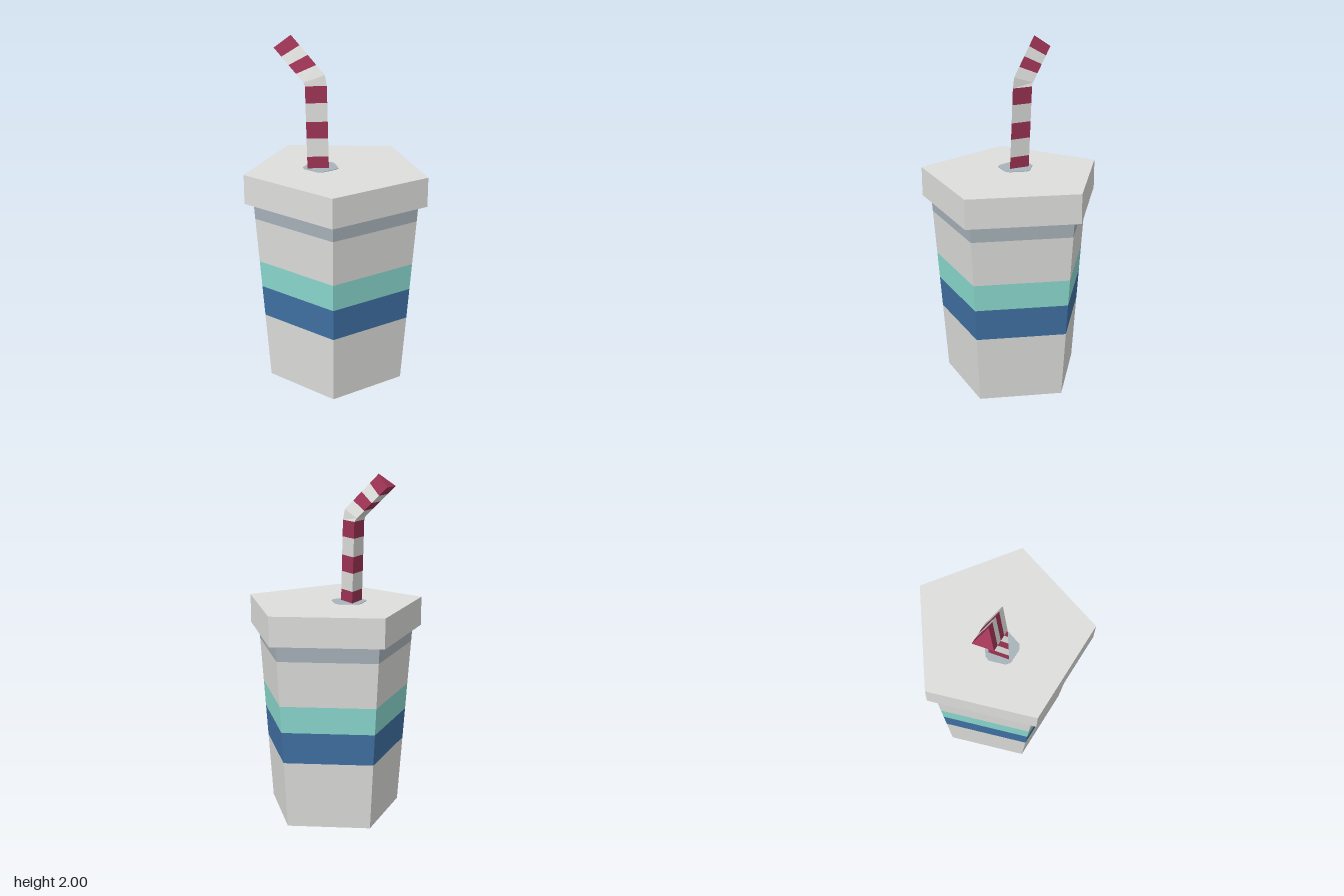
import * as THREE from 'three';
import { mergeGeometries } from 'three/addons/utils/BufferGeometryUtils.js';

const mat = (name, color) => {
  const m = new THREE.MeshStandardMaterial({ color });
  m.name = name;
  return m;
};

// Give every face its own normal for a faceted look
const faceted = (geo) => {
  const g = geo.index ? geo.toNonIndexed() : geo;
  g.computeVertexNormals();
  return g;
};

export function createModel() {
  const white = mat('offWhite', 0xdededc);
  const teal = mat('teal', 0x8bdbd1);
  const blue = mat('blue', 0x4071a4);
  const red = mat('crimson', 0x9e3455);
  const greyBlue = mat('greyBlue', 0xa9b4bb);

  const group = new THREE.Group();
  const add = (name, geo, material) => {
    const mesh = new THREE.Mesh(faceted(geo), material);
    mesh.name = name;
    group.add(mesh);
    return mesh;
  };

  // Five-sided tapered section with one corner at the back
  const centreZ = 0.051;
  const pentagon = (name, y0, y1, r0, r1, material, open) => {
    const geo = new THREE.CylinderGeometry(r1, r0, y1 - y0, 5, 1, open, Math.PI);
    add(name, geo, material).position.set(0, (y0 + y1) / 2, centreZ);
  };

  // Cup wall in coloured bands
  const cupRadius = (y) => 0.405 + 0.0725 * y;
  const bands = [
    ['cupBase', 0, 0.395, white],
    ['blueBand', 0.395, 0.58, blue],
    ['tealBand', 0.58, 0.737, teal],
    ['cupUpper', 0.737, 1.0, white],
    ['cupRim', 1.0, 1.1, greyBlue],
  ];
  for (const [name, y0, y1, m] of bands) {
    pentagon(name, y0, y1, cupRadius(y0), cupRadius(y1), m, y0 > 0);
  }
  pentagon('lid', 1.095, 1.265, 0.536, 0.536, white, false);

  // Straw hole: pentagon with clipped corners, laid on the lid
  const hole = new THREE.Shape();
  const corners = [...Array(5)].map((_, i) => {
    const a = Math.PI / 2 + (i * Math.PI * 2) / 5;
    return new THREE.Vector2(0.112 * Math.cos(a), 0.112 * Math.sin(a));
  });
  corners.forEach((c, i) => {
    const before = c.clone().lerp(corners[(i + 4) % 5], 0.14);
    const after = c.clone().lerp(corners[(i + 1) % 5], 0.14);
    if (i) hole.lineTo(before.x, before.y);
    else hole.moveTo(before.x, before.y);
    hole.lineTo(after.x, after.y);
  });
  const holeGeo = new THREE.ExtrudeGeometry(hole, { depth: 0.004, bevelEnabled: false });
  holeGeo.rotateX(-Math.PI / 2);
  add('strawHole', holeGeo, greyBlue).position.set(-0.073, 1.264, -0.003);

  // Three-sided straw: rings of corners (front, back, left)
  const lower = (y) => {
    const z = -0.042 * (y - 1.265);
    return [[-0.05, y, 0.045 + z], [-0.05, y, -0.075 + z], [-0.155, y, -0.015 + z]];
  };
  const bend = [[-0.056, 1.795, 0.014], [-0.059, 1.755, -0.105], [-0.16, 1.755, -0.041]];
  const tip = [[-0.163, 2.0, -0.165], [-0.152, 1.932, -0.263], [-0.25, 1.932, -0.205]];
  const upper = (t) => bend.map((p, i) => p.map((v, k) => v + (tip[i][k] - v) * t));

  const rings = [1.25, 1.335, 1.44, 1.535, 1.64, 1.735].map(lower);
  rings.push(bend, upper(0.25), upper(0.5), upper(0.74), tip);
  const isRed = [1, 0, 1, 0, 1, 0, 0, 1, 0, 1];

  const triangles = (points) => {
    const g = new THREE.BufferGeometry();
    g.setAttribute('position', new THREE.Float32BufferAttribute(points.flat(), 3));
    return g;
  };
  const parts = { red: [], white: [] };
  isRed.forEach((r, s) => {
    const [a, b] = [rings[s], rings[s + 1]];
    const points = [];
    for (let i = 0; i < 3; i++) {
      const j = (i + 1) % 3;
      points.push(a[i], a[j], b[j], a[i], b[j], b[i]);
    }
    parts[r ? 'red' : 'white'].push(triangles(points));
  });
  parts.red.push(triangles(tip));
  add('strawRedStripes', mergeGeometries(parts.red), red);
  add('strawWhiteStripes', mergeGeometries(parts.white), white);

  return group;
}
